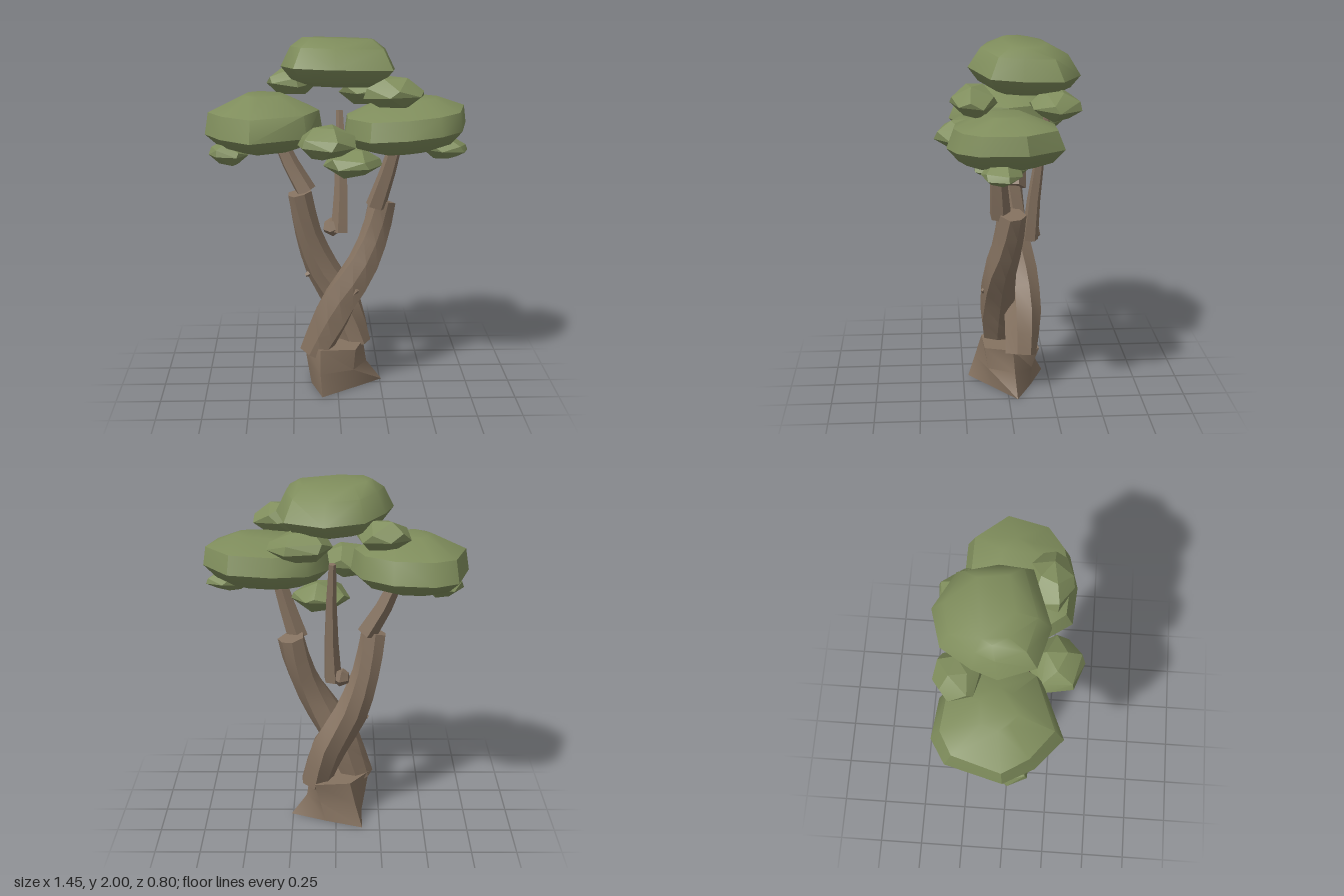
import * as THREE from 'three';
import { ConvexGeometry } from 'three/addons/geometries/ConvexGeometry.js';
import { toCreasedNormals } from 'three/addons/utils/BufferGeometryUtils.js';

const V = (p) => new THREE.Vector3(...p);

// Small seeded generator for irregular clumps
function seeded(seed) {
  let s = seed * 7919 + 17;
  return () => (s = (s * 16807) % 2147483647) / 2147483647;
}

// Skin over closed rings of points, with caps at both ends
function loft(rings, crease) {
  const n = rings[0].length, pos = [];
  const tri = (...pts) => pts.forEach((p) => pos.push(p.x, p.y, p.z));
  const middle = (r) => r.reduce((s, p) => s.add(p), new THREE.Vector3()).divideScalar(n);
  const first = rings[0], last = rings[rings.length - 1];
  const c0 = middle(first), c1 = middle(last);
  for (let j = 0; j < n; j++) {
    const k = (j + 1) % n;
    for (let i = 0; i < rings.length - 1; i++) {
      const [a, b] = [rings[i], rings[i + 1]];
      tri(a[j], a[k], b[j]);
      tri(a[k], b[k], b[j]);
    }
    tri(c0, first[k], first[j]);
    tri(c1, last[j], last[k]);
  }
  const g = new THREE.BufferGeometry();
  g.setAttribute('position', new THREE.Float32BufferAttribute(pos, 3));
  return toCreasedNormals(g, crease);
}

// Faceted branch along a curve, with evenly spaced radii and an optional twist
function limb(points, radii, sides, steps, twist = 0) {
  const curve = new THREE.CatmullRomCurve3(points.map(V));
  const f = curve.computeFrenetFrames(steps, false);
  const rings = [];
  for (let i = 0; i <= steps; i++) {
    const t = i / steps, c = curve.getPointAt(t);
    const u = t * (radii.length - 1), k = Math.min(Math.floor(u), radii.length - 2);
    const r = THREE.MathUtils.lerp(radii[k], radii[k + 1], u - k);
    rings.push(Array.from({ length: sides }, (_, j) => {
      const a = (j / sides) * Math.PI * 2 + twist * t;
      const rr = r * (j % 2 ? 0.92 : 1.06);
      return c.clone()
        .addScaledVector(f.normals[i], Math.cos(a) * rr)
        .addScaledVector(f.binormals[i], Math.sin(a) * rr);
    }));
  }
  return loft(rings, 0.45);
}

// Canopy: an outline in plan repeated at several heights [y, scaleX, scaleZ]
function canopy(outline, levels, tiltX, tiltZ) {
  const xs = outline.map((p) => p[0]), zs = outline.map((p) => p[1]);
  const cx = (Math.min(...xs) + Math.max(...xs)) / 2;
  const cz = (Math.min(...zs) + Math.max(...zs)) / 2;
  const pts = [];
  for (const [y, sx, sz] of levels) {
    for (const [x, z] of outline) {
      const dx = (x - cx) * sx, dz = (z - cz) * sz;
      pts.push(new THREE.Vector3(cx + dx, y + tiltX * dx + tiltZ * dz, cz + dz));
    }
  }
  return toCreasedNormals(new ConvexGeometry(pts), 0.7);
}

// Small pointed clump fitted into a box
function clump(size, seed) {
  const rnd = seeded(seed), pts = [];
  const rings = [[-0.5, 0.5, 4], [-0.1, 1, 6], [0.14, 0.92, 5], [0.5, 0.42, 3]];
  for (const [y, s, n] of rings) {
    const start = rnd() * 6;
    for (let i = 0; i < n; i++) {
      const a = start + (i / n) * Math.PI * 2;
      pts.push(new THREE.Vector3(Math.cos(a) * s, y + (rnd() - 0.5) * 0.14, Math.sin(a) * s));
    }
  }
  const box = new THREE.Box3().setFromPoints(pts);
  const d = box.getSize(new THREE.Vector3()), c = box.getCenter(new THREE.Vector3());
  pts.forEach((p) => p.sub(c).divide(d).multiply(V(size)));
  return toCreasedNormals(new ConvexGeometry(pts), 0.3);
}

export function createModel() {
  const tree = new THREE.Group();
  tree.name = 'tree';
  const bark = new THREE.MeshStandardMaterial({ color: 0x857260 });
  bark.name = 'bark brown';
  const leaf = new THREE.MeshStandardMaterial({ color: 0x7f8d5c });
  leaf.name = 'leaf green';
  const add = (name, geo, mat) => {
    const m = new THREE.Mesh(geo, mat);
    m.name = name;
    tree.add(m);
    return m;
  };

  // Twisted stump: triangular foot turning into a six-sided top
  const stump = [
    [0, [[0.26, -0.05], [0.06, -0.14], [-0.15, -0.22], [-0.15, 0], [-0.09, 0.22], [0.08, 0.09]]],
    [0.12, [[0.17, -0.04], [0.09, -0.14], [-0.11, -0.16], [-0.17, 0], [-0.1, 0.18], [0.09, 0.11]]],
    [0.25, [[0.15, -0.03], [0.12, -0.18], [-0.08, -0.16], [-0.19, 0], [-0.1, 0.14], [0.1, 0.13]]],
  ];
  add('stump', loft(stump.map(([y, r]) => r.map(([x, z]) => V([x, y, z]))), 0.8), bark);

  // Two crossing trunks
  add('frontTrunk', limb([[-0.13, 0.2, 0.035], [0, 0.5, 0.05], [0.13, 0.72, 0.05],
    [0.205, 0.9, 0.01], [0.25, 1.09, -0.015]], [0.088, 0.11, 0.1, 0.084, 0.076], 7, 8, 0.9), bark);
  add('backTrunk', limb([[0.12, 0.22, -0.07], [0.045, 0.45, -0.09], [-0.08, 0.66, -0.09],
    [-0.17, 0.9, -0.06], [-0.215, 1.13, -0.04]], [0.088, 0.102, 0.092, 0.074, 0.069], 7, 8, -0.9), bark);

  // Upper branches
  add('leftBranch', limb([[0.21, 1.07, 0.05], [0.26, 1.22, 0.06], [0.33, 1.46, 0.06]], [0.06, 0.036], 5, 2), bark);
  add('rightBranch', limb([[-0.175, 1.13, -0.06], [-0.25, 1.26, -0.08], [-0.34, 1.46, -0.09]], [0.06, 0.038], 5, 2), bark);
  add('middleBranch', limb([[0.02, 0.875, -0.13], [0.03, 1.2, -0.16], [0.02, 1.57, -0.22]], [0.05, 0.02], 5, 3), bark);
  add('branchStub', limb([[-0.07, 0.9, -0.155], [-0.04, 0.9, -0.15], [0.01, 0.91, -0.14]], [0.03, 0.055, 0.035], 5, 2), bark);

  // Little knots on the trunks
  add('frontKnot', limb([[0.07, 0.56, 0.1], [0.11, 0.61, 0.14]], [0.03, 0.012], 4, 1), bark);
  add('sideKnot', limb([[-0.1, 0.67, -0.09], [-0.18, 0.63, -0.08]], [0.035, 0.012], 4, 1), bark);

  // Three broad canopies
  add('topCanopy', canopy([[0.06, -0.4], [-0.15, -0.34], [-0.26, -0.175], [-0.31, -0.04], [-0.24, 0.15],
    [-0.02, 0.21], [0.3, 0.1], [0.32, -0.07], [0.27, -0.29]],
  [[1.73, 0.55, 0.55], [1.76, 0.82, 0.82], [1.83, 1, 1], [1.94, 0.83, 0.77], [1.99, 0.62, 0.4]], -0.03, 0.06), leaf);
  add('rightCanopy', canopy([[-0.73, 0.01], [-0.65, -0.29], [-0.52, -0.37], [-0.3, -0.345], [-0.14, -0.22],
    [-0.08, -0.02], [-0.17, 0.18], [-0.475, 0.31], [-0.64, 0.17]],
  [[1.385, 0.5, 0.5], [1.42, 0.8, 0.8], [1.48, 1, 1], [1.6, 0.94, 0.85], [1.69, 0.35, 0.3]], 0.01, -0.02), leaf);
  add('leftCanopy', canopy([[0.575, -0.265], [0.34, -0.27], [0.15, -0.2], [0.04, -0.02], [0.04, 0.14],
    [0.165, 0.32], [0.37, 0.335], [0.55, 0.285], [0.67, 0.18], [0.72, -0.07]],
  [[1.395, 0.5, 0.5], [1.43, 0.8, 0.8], [1.5, 1, 1], [1.6, 0.96, 0.87], [1.67, 0.5, 0.35]], 0.06, -0.03), leaf);

  // Small leaf clumps: name, centre, size
  const clumps = [
    ['rightLowClump', [-0.6, 1.375, 0.04], [0.22, 0.13, 0.2]],
    ['leftLowClump', [0.595, 1.405, 0.06], [0.25, 0.12, 0.21]],
    ['frontClump', [-0.065, 1.47, 0.25], [0.31, 0.18, 0.3]],
    ['lowerClump', [0.085, 1.325, 0.035], [0.33, 0.17, 0.29]],
    ['upperLeftClump', [0.295, 1.725, 0.19], [0.33, 0.17, 0.25]],
    ['upperRightClump', [-0.25, 1.735, -0.245], [0.29, 0.16, 0.25]],
    ['backClump', [0.19, 1.68, -0.25], [0.35, 0.17, 0.27]],
  ];
  clumps.forEach(([name, at, size], i) => {
    add(name, clump(size, i + 3), leaf).position.set(...at);
  });

  return tree;
}
